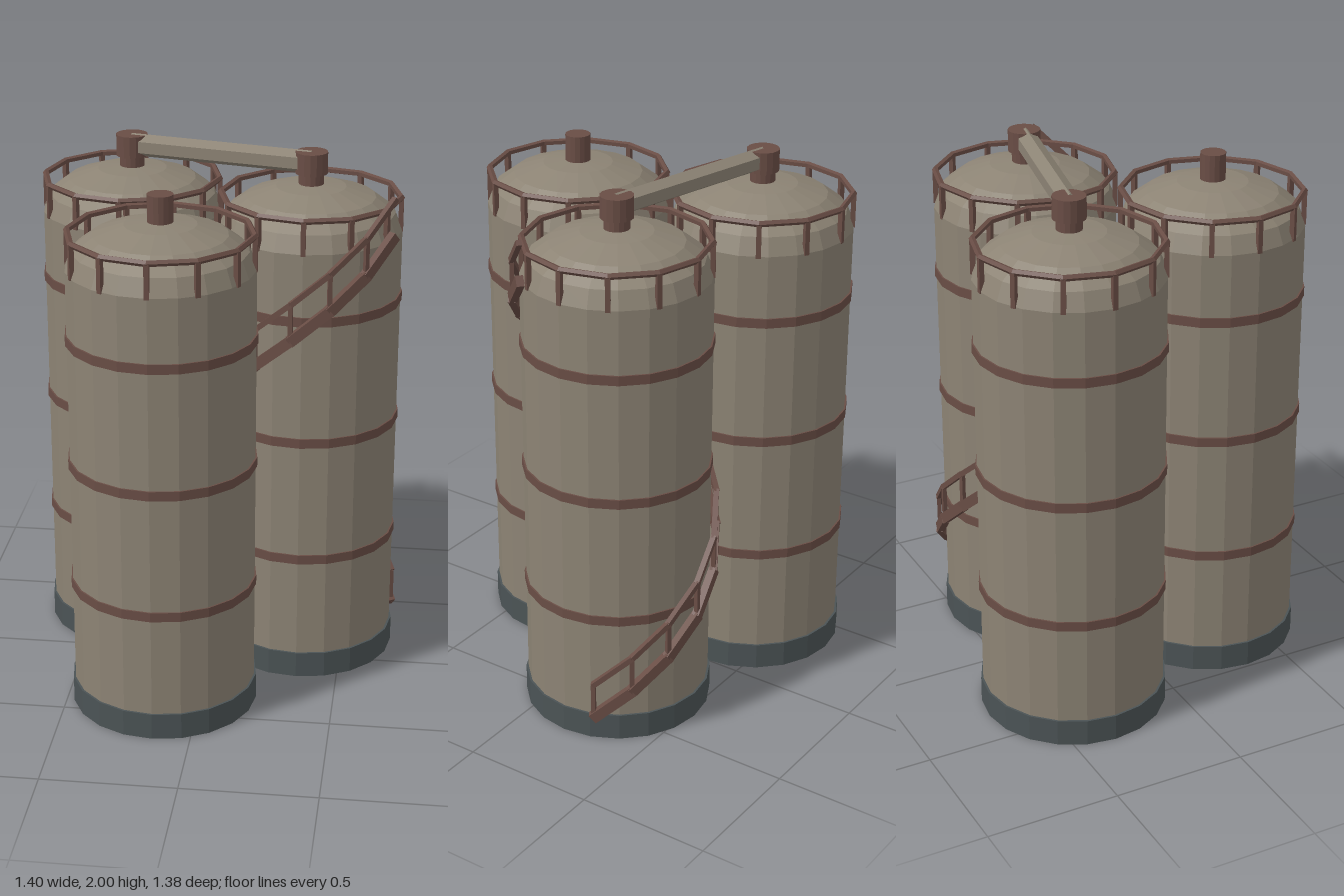
import * as THREE from 'three';

const flat = (color, name) => {
  const m = new THREE.MeshStandardMaterial({ color, flatShading: true });
  m.name = name;
  return m;
};

export function createModel() {
  const shellMat = flat(0x8c8374, 'weathered plaster');
  const rustMat = flat(0x694d45, 'rusty brown');
  const baseMat = flat(0x4b5355, 'dark slate');
  const model = new THREE.Group();
  model.name = 'siloCluster';

  const R = 0.34, SIDES = 20, EAVE = 1.71;

  const add = (parent, name, geo, mat, x = 0, y = 0, z = 0) => {
    const mesh = new THREE.Mesh(geo, mat);
    mesh.name = name;
    mesh.position.set(x, y, z);
    parent.add(mesh);
    return mesh;
  };

  // Upright cylinder between two heights
  const drum = (parent, name, r, y0, y1, mat, sides = SIDES) =>
    add(parent, name, new THREE.CylinderGeometry(r, r, y1 - y0, sides), mat, 0, (y0 + y1) / 2, 0);

  // Square bar running from a to b
  const bar = (parent, name, a, b, w, h, mat) => {
    const mesh = add(parent, name, new THREE.BoxGeometry(w, h, a.distanceTo(b) + w * 0.4), mat);
    mesh.position.copy(a).lerp(b, 0.5);
    mesh.lookAt(b);
    return mesh;
  };

  const onCircle = (r, deg, y) => {
    const t = THREE.MathUtils.degToRad(deg);
    return new THREE.Vector3(r * Math.cos(t), y, r * Math.sin(t));
  };

  function makeSilo(name, x, z, hasCap) {
    const silo = new THREE.Group();
    silo.name = name;
    drum(silo, 'base', 0.348, 0, 0.1, baseMat);
    drum(silo, 'shell', R, 0.1, EAVE, shellMat);
    for (const y of [0.5, 0.978, 1.455]) drum(silo, 'band', 0.346, y - 0.018, y + 0.018, rustMat);

    // Shallow domed roof
    const dome = new THREE.SphereGeometry(R, SIDES, 4, 0, Math.PI * 2, 0, Math.PI / 2);
    dome.rotateY(Math.PI / 2);
    dome.scale(1, 0.5, 1);
    add(silo, 'dome', dome, shellMat, 0, EAVE, 0);
    drum(silo, 'vent', 0.047, 1.85, 1.975, rustMat, 16);
    if (hasCap) drum(silo, 'ventCap', 0.06, 1.915, 1.996, rustMat, 16);

    // Guard rail around the roof edge
    const ring = new THREE.TorusGeometry(0.333, 0.012, 5, 12);
    ring.rotateX(Math.PI / 2);
    add(silo, 'guardRail', ring, rustMat, 0, 1.833, 0);
    for (let i = 0; i < 12; i++) {
      const p = onCircle(0.333, i * 30, 1.77);
      const post = add(silo, 'guardPost', new THREE.BoxGeometry(0.018, 0.13, 0.018), rustMat, p.x, p.y, p.z);
      post.rotation.y = -THREE.MathUtils.degToRad(i * 30);
    }
    silo.position.set(x, 0, z);
    model.add(silo);
    return silo;
  }

  makeSilo('backSilo', -0.345, -0.345, true);
  makeSilo('frontSilo', -0.14, 0.335, false);
  const stairSilo = makeSilo('stairSilo', 0.345, -0.185, true);

  // Spiral stair: stringer, handrail and posts wound round one silo
  const stair = new THREE.Group();
  stair.name = 'spiralStair';
  const STEPS = 14, up = new THREE.Vector3(0, 0.14, 0);
  const point = i => onCircle(0.364, -21 - 309 * i / STEPS, 0.1 + 1.64 * i / STEPS);
  for (let i = 0; i < STEPS; i++) {
    const a = point(i), b = point(i + 1);
    bar(stair, 'stringer', a, b, 0.028, 0.04, rustMat);
    bar(stair, 'handrail', a.clone().add(up), b.clone().add(up), 0.02, 0.02, rustMat);
    const post = add(stair, 'stairPost', new THREE.BoxGeometry(0.016, 0.14, 0.016), rustMat, a.x, a.y + 0.07, a.z);
    post.rotation.y = Math.atan2(-a.z, a.x);
  }
  stairSilo.add(stair);

  // Six-sided duct joining the two capped vents, ridge upward
  const from = new THREE.Vector3(-0.345, 1.957, -0.34), to = new THREE.Vector3(0.345, 1.957, -0.18);
  const ductGeo = new THREE.CylinderGeometry(0.043, 0.043, from.distanceTo(to), 6);
  ductGeo.rotateX(Math.PI / 2);
  const duct = add(model, 'duct', ductGeo, shellMat);
  duct.position.copy(from).lerp(to, 0.5);
  duct.lookAt(to);

  return model;
}
